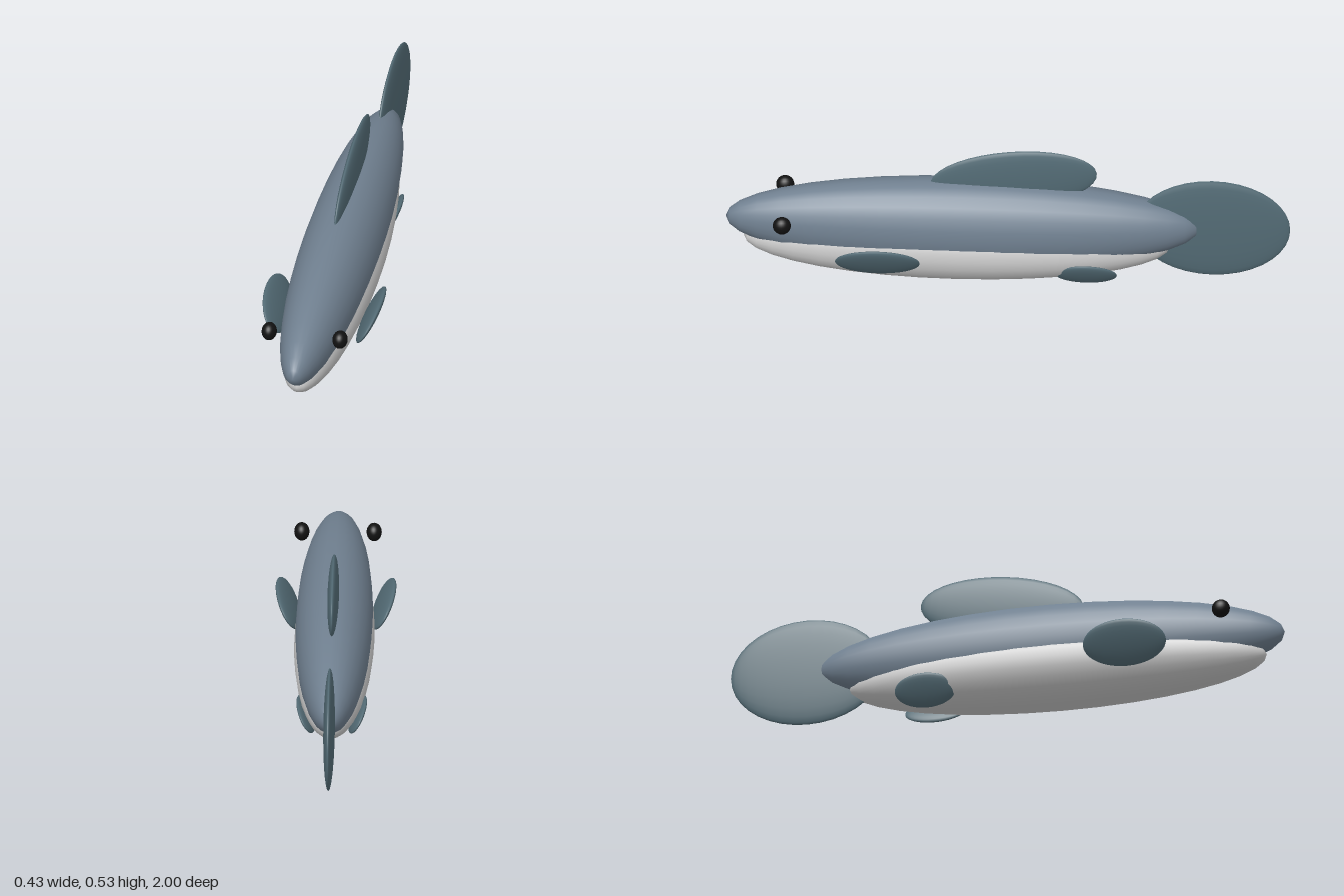
import * as THREE from 'three';

const backMat = new THREE.MeshStandardMaterial({ color: 0x708090 });
const bellyMat = new THREE.MeshStandardMaterial({ color: 0xcccccc });
const finMat = new THREE.MeshStandardMaterial({ color: 0x536b75 });
const eyeMat = new THREE.MeshStandardMaterial({ color: 0x111111 });

// Ellipsoid with its poles along z: half sizes, centre, then tilt
function ellipsoid(name, mat, [rx, ry, rz], [x, y, z], tiltX = 0, tiltZ = 0) {
  const geo = new THREE.SphereGeometry(1, 24, 18);
  geo.rotateX(Math.PI / 2);
  geo.scale(rx, ry, rz);
  const mesh = new THREE.Mesh(geo, mat);
  mesh.name = name;
  mesh.position.set(x, y, z);
  mesh.rotation.set(tiltX, 0, tiltZ);
  return mesh;
}

export function createModel() {
  const fish = new THREE.Group();
  fish.name = 'fish';

  // Dark back overlapping a shorter, lower pale belly
  fish.add(
    ellipsoid('back', backMat, [0.136, 0.175, 0.84], [0, 0.221, 0.16]),
    ellipsoid('belly', bellyMat, [0.142, 0.137, 0.755], [0, 0.14, 0.18]),
  );

  // Upright fins on the centre line
  fish.add(
    ellipsoid('dorsalFin', finMat, [0.02, 0.12, 0.297], [0, 0.41, -0.02], 0.12),
    ellipsoid('tailFin', finMat, [0.02, 0.203, 0.275], [0, 0.223, -0.725]),
  );

  // Paired fins and eyes
  for (const [side, s] of [['left', 1], ['right', -1]]) {
    fish.add(
      ellipsoid(side + 'PectoralFin', finMat, [0.018, 0.084, 0.15], [s * 0.169, 0.154, 0.455], 0, -s * Math.PI / 6),
      ellipsoid(side + 'PelvicFin', finMat, [0.014, 0.062, 0.11], [s * 0.092, 0.071, -0.28], 0, -s * Math.PI / 6),
      ellipsoid(side + 'Eye', eyeMat, [0.027, 0.033, 0.032], [s * 0.128, 0.273, 0.795]),
    );
  }
  return fish;
}
